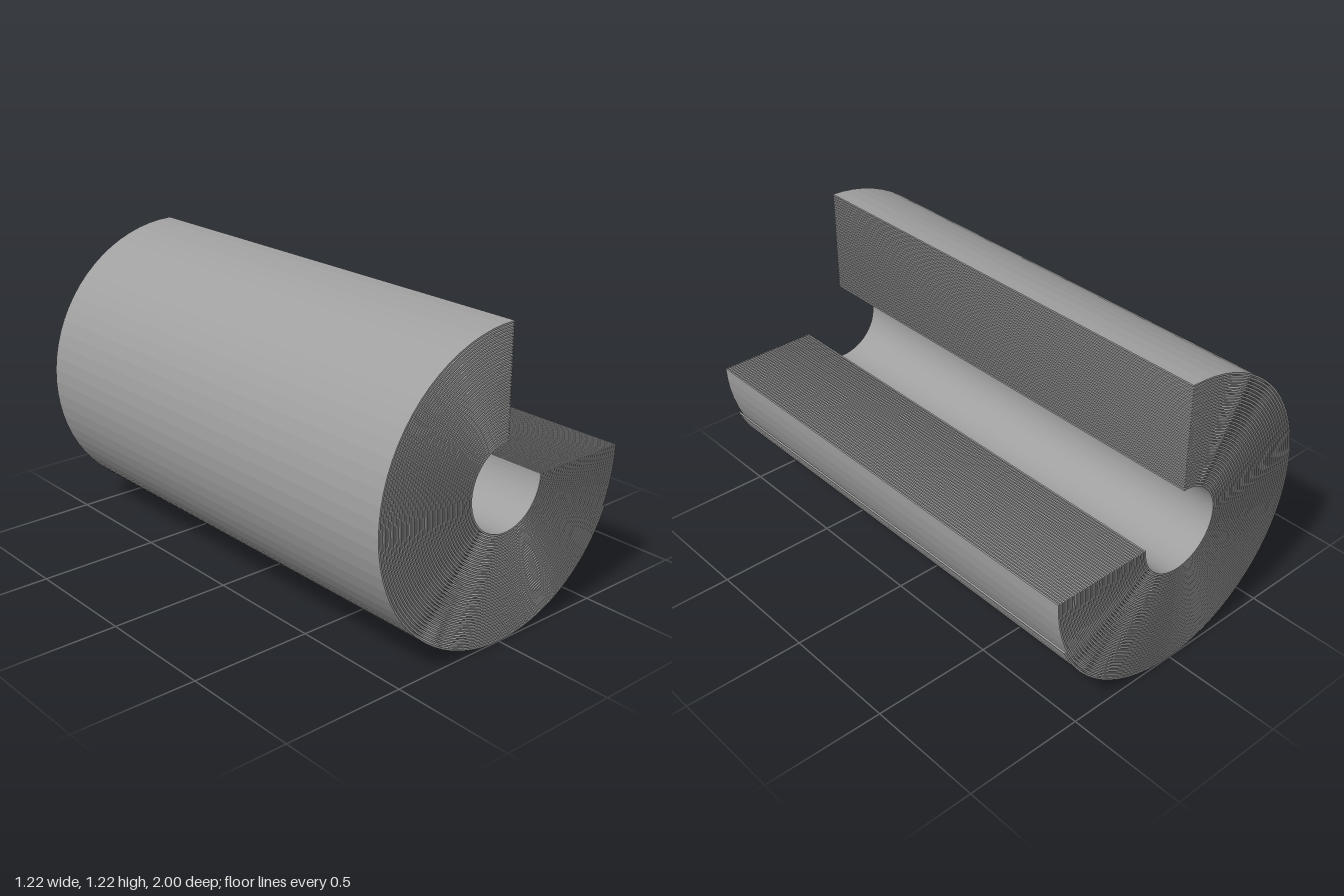
import * as THREE from 'three';

const LENGTH = 2;
const TURNS = 37;
const PITCH = 0.01194;     // radial growth per full turn
const THICKNESS = 0.007;   // the rest of the pitch is an air gap
const INNER_RADIUS = 0.171;
const CENTRE = { x: 0.0015, y: 0.615 };
const SWEEP = Math.PI * 1.5;                          // one quarter is cut away
const LAST_SWEEP = THREE.MathUtils.degToRad(247);     // loose outer end of the sheet
const STEP = THREE.MathUtils.degToRad(5);

// Point on the spiral, measured counter-clockwise from the top
function spiralPoint(turn, angle, offset) {
  const r = INNER_RADIUS + PITCH * (turn + angle / (Math.PI * 2)) + offset;
  return new THREE.Vector2(-Math.sin(angle) * r, Math.cos(angle) * r);
}

// One three-quarter turn of the sheet, extruded along the roll
function sheetTurn(turn, sweep) {
  const steps = Math.round(sweep / STEP);
  const outer = [];
  const inner = [];
  for (let i = 0; i <= steps; i++) {
    const angle = (sweep * i) / steps;
    outer.push(spiralPoint(turn, angle, THICKNESS));
    inner.push(spiralPoint(turn, angle, 0));
  }
  const shape = new THREE.Shape([...outer, ...inner.reverse()]);
  const geometry = new THREE.ExtrudeGeometry(shape, { depth: LENGTH, bevelEnabled: false });
  return geometry.translate(CENTRE.x, CENTRE.y, -LENGTH / 2);
}

export function createModel() {
  const model = new THREE.Group();
  model.name = 'cutawaySpiralRoll';
  const sheet = new THREE.MeshStandardMaterial({ color: 0xa0a0a0 });
  sheet.name = 'sheet grey';

  for (let turn = 0; turn < TURNS; turn++) {
    const last = turn === TURNS - 1;
    const mesh = new THREE.Mesh(sheetTurn(turn, last ? LAST_SWEEP : SWEEP), sheet);
    mesh.name = last ? 'outerSheetEnd' : `sheetTurn${turn + 1}`;
    model.add(mesh);
  }
  return model;
}
